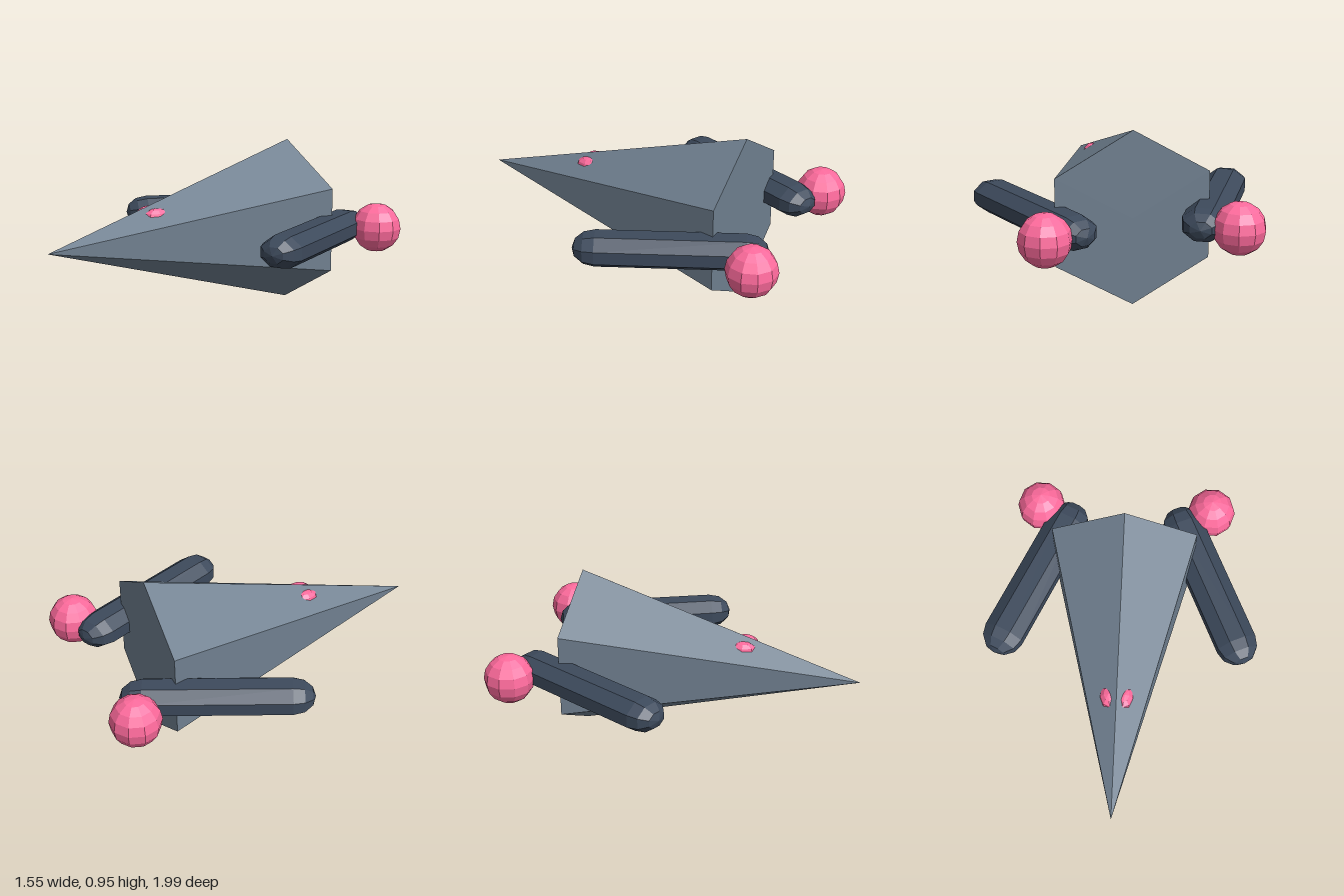
import * as THREE from 'three';

const mat = (color) => new THREE.MeshStandardMaterial({ color, flatShading: true });

export function createModel() {
  const group = new THREE.Group();
  const hullMat = mat(0x708090);
  const podMat = mat(0x3d4a5c);
  const pinkMat = mat(0xff6b9d);
  const midY = 0.478;

  const add = (name, geometry, material, x, y, z) => {
    const mesh = new THREE.Mesh(geometry, material);
    mesh.name = name;
    mesh.position.set(x, y, z);
    group.add(mesh);
    return mesh;
  };

  // Six-sided pointed body, tip to the front
  const hull = new THREE.ConeGeometry(0.475, 1.6, 6);
  hull.rotateX(Math.PI / 2);
  add('body', hull, hullMat, 0, midY, 0.2);

  for (const [side, s] of [['left', 1], ['right', -1]]) {
    // Flattened eight-sided side pod, splayed outward to the front
    const pod = new THREE.CapsuleGeometry(0.123, 0.79, 3, 8);
    pod.rotateY(Math.PI / 8);
    pod.scale(1, 1, 0.755);
    pod.rotateX(Math.PI / 2);
    add(side + 'Pod', pod, podMat, s * 0.5, midY, -0.4).rotation.y = s * 0.42;

    // Ball behind each pod
    add(side + 'Ball', new THREE.SphereGeometry(0.14, 10, 8), pinkMat, s * 0.5, midY, -0.86);

    // Eye half sunk into the upper face
    const eye = add(side + 'Eye', new THREE.SphereGeometry(0.05, 8, 6), pinkMat, s * 0.045, 0.605, 0.347);
    eye.scale.set(1, 1, 1.6);
    eye.rotation.y = -s * 0.15;
  }
  return group;
}
